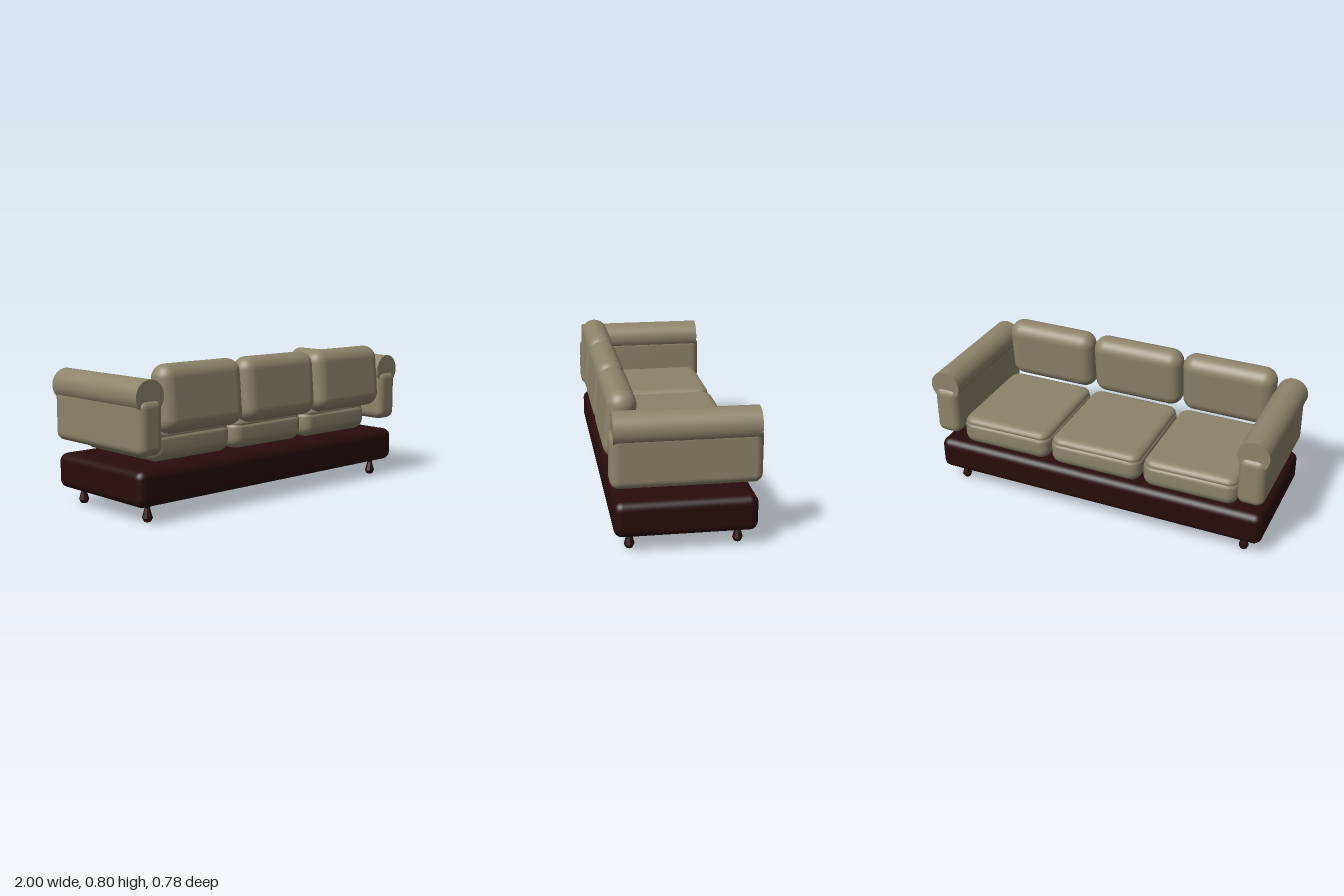
import * as THREE from 'three';
import { RoundedBoxGeometry } from 'three/addons/geometries/RoundedBoxGeometry.js';

const fabric = new THREE.MeshStandardMaterial({ color: 0x8c846a });
fabric.name = 'beige fabric';
const wood = new THREE.MeshStandardMaterial({ color: 0x280c0c });
wood.name = 'dark wood';

function add(parent, name, geometry, material, x, y, z) {
  const mesh = new THREE.Mesh(geometry, material);
  mesh.name = name;
  mesh.position.set(x, y, z);
  parent.add(mesh);
  return mesh;
}

// Box with rounded edges, given by its size and edge radius
const softBox = (w, h, d, r) => new RoundedBoxGeometry(w, h, d, 7, r);

// Cushion made of rounded-rectangle loops; each level is [height, inset]
function cushionGeometry(w, d, radius, levels) {
  const pos = [], index = [], steps = 8, n = 4 * (steps + 1);
  for (const [y, inset] of levels) {
    const r = Math.max(radius - inset, 0.004);
    for (let q = 0; q < 4; q++) {
      const sx = q === 0 || q === 3 ? 1 : -1, sz = q < 2 ? 1 : -1;
      for (let i = 0; i <= steps; i++) {
        const a = (q + i / steps) * Math.PI / 2;
        pos.push(sx * (w / 2 - inset - r) + r * Math.cos(a), y, sz * (d / 2 - inset - r) + r * Math.sin(a));
      }
    }
  }
  const last = levels.length - 1, bottom = levels.length * n, top = bottom + 1;
  pos.push(0, levels[0][0], 0, 0, levels[last][0], 0);
  for (let j = 0; j < n; j++) {
    const k = (j + 1) % n;
    for (let l = 0; l < last; l++) {
      const a = l * n + j, b = l * n + k;
      index.push(a, a + n, b, b, a + n, b + n);
    }
    index.push(bottom, j, k, top, last * n + k, last * n + j);
  }
  const g = new THREE.BufferGeometry();
  g.setAttribute('position', new THREE.Float32BufferAttribute(pos, 3));
  g.setIndex(index);
  g.computeVertexNormals();
  return g;
}

// Seat section: round bottom edge, narrow seam, round top edge
function seatLevels() {
  const r = 0.06, levels = [];
  for (let i = 0; i <= 6; i++) {
    const a = i / 6 * Math.PI / 2;
    levels.push([0.29 + r * (1 - Math.cos(a)), r * (1 - Math.sin(a))]);
  }
  levels.push([0.405, 0], [0.417, 0.003], [0.422, 0.012], [0.427, 0.006]);
  for (let i = 1; i <= 6; i++) {
    const a = i / 6 * Math.PI / 2;
    levels.push([0.427 + 0.033 * Math.sin(a), 0.006 + 0.045 * (1 - Math.cos(a))]);
  }
  return levels;
}

export function createModel() {
  const sofa = new THREE.Group();
  sofa.name = 'sofa';

  // Wooden base
  add(sofa, 'base', softBox(1.964, 0.19, 0.734, 0.045), wood, 0, 0.185, -0.006);

  // Turned legs
  const legProfile = [[0, 0], [0.018, 0], [0.028, 0.02], [0.014, 0.07], [0.022, 0.095], [0, 0.095]]
    .map(([x, y]) => new THREE.Vector2(x, y));
  const legGeo = new THREE.LatheGeometry(legProfile, 8).toNonIndexed();
  legGeo.computeVertexNormals();
  for (const x of [-0.873, 0.873]) {
    for (const z of [0.275, -0.285]) add(sofa, 'leg', legGeo, wood, x, 0, z);
  }

  // Arms: padded panel with a round bolster on top
  const panelGeo = softBox(0.15, 0.288, 0.766, 0.045);
  const bolsterGeo = new THREE.CylinderGeometry(0.0875, 0.0875, 0.734, 48).rotateX(Math.PI / 2);
  for (const side of [-1, 1]) {
    const arm = new THREE.Group();
    arm.name = side > 0 ? 'leftArm' : 'rightArm';
    add(arm, 'armPanel', panelGeo, fabric, side * 0.91, 0.495, -0.006);
    add(arm, 'armBolster', bolsterGeo, fabric, side * 0.9125, 0.65, -0.006);
    sofa.add(arm);
  }

  // Three seat cushions and three leaning back cushions
  const seatGeo = cushionGeometry(0.545, 0.64, 0.065, seatLevels());
  const backGeo = softBox(0.552, 0.356, 0.155, 0.075);
  for (const x of [-0.558, 0, 0.558]) {
    add(sofa, 'seatCushion', seatGeo, fabric, x, 0, -0.042);
    add(sofa, 'backCushion', backGeo, fabric, x, 0.623, 0.306).rotation.x = -0.09;
  }
  return sofa;
}
